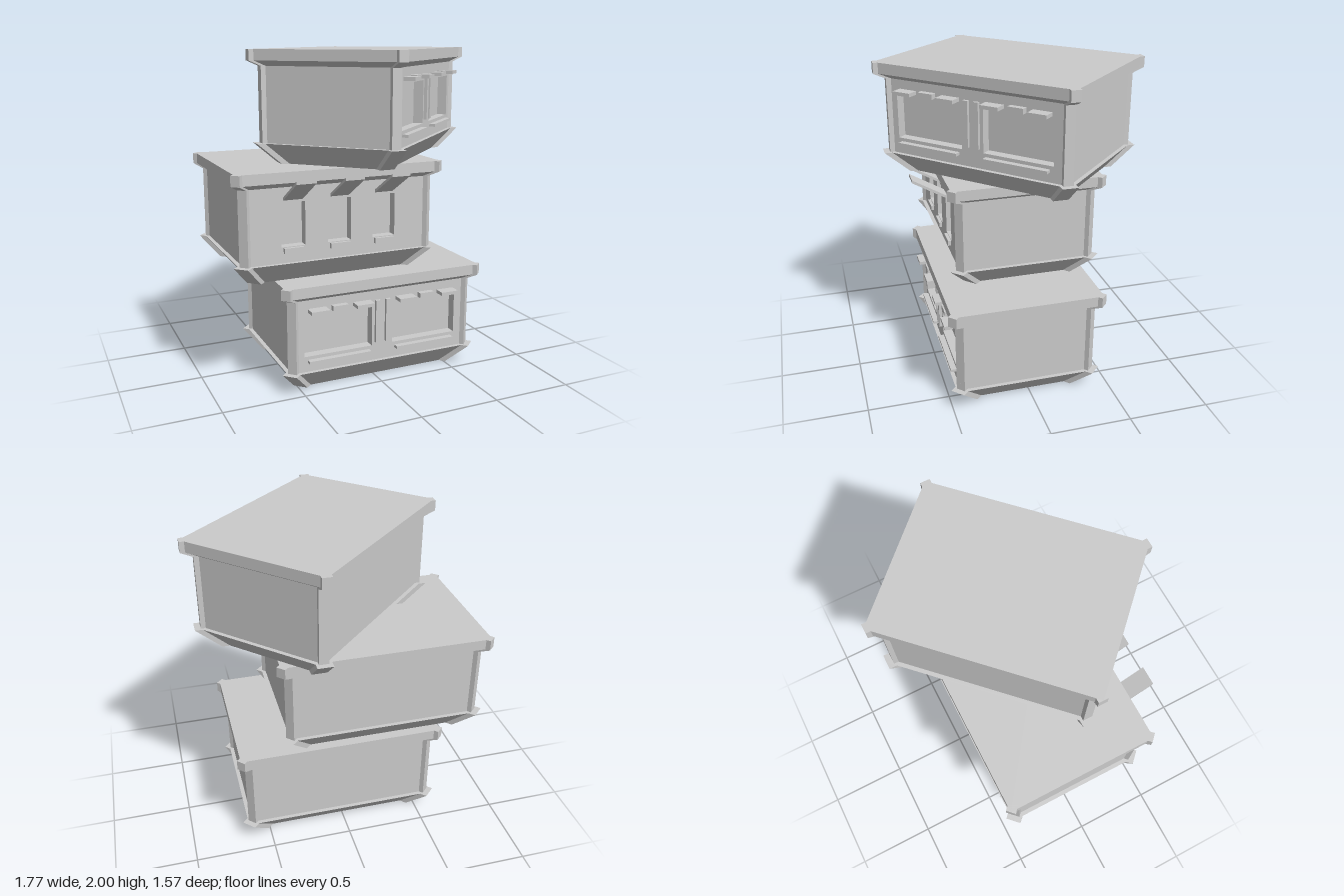
import * as THREE from 'three';

const HX = 0.642, HZ = 0.466, H = 2 / 3, WALL = 0.05, FRONT = HZ - WALL;
// Profile of every storey: [height, inset from the roof edge]
const PROFILE = [[0, 0.13], [0.127, 0.025], [0.127, WALL], [0.572, WALL], [0.603, 0], [H, 0]];
const WALL_BAND = 2;

const solid = new THREE.MeshStandardMaterial({ color: 0xcccccc, flatShading: true });
const open = new THREE.MeshStandardMaterial({ color: 0xcccccc, flatShading: true, side: THREE.DoubleSide });

function add(parent, name, geometry, material, x = 0, y = 0, z = 0) {
  const mesh = new THREE.Mesh(geometry, material);
  mesh.name = name;
  mesh.position.set(x, y, z);
  parent.add(mesh);
  return mesh;
}

// Fitting on the front wall, reaching slightly through it
function fitting(parent, name, x, width, y0, y1, z1) {
  const z0 = FRONT - 0.02;
  add(parent, name, new THREE.BoxGeometry(width, y1 - y0, z1 - z0), solid, x, (y0 + y1) / 2, (z0 + z1) / 2);
}

// Open-bottomed shell lofted from rectangles; the front wall is left out
function shellGeometry() {
  const rings = PROFILE.map(([y, d]) => [[1, 1], [1, -1], [-1, -1], [-1, 1]]
    .map(([sx, sz]) => [sx * (HX - d), y, sz * (HZ - d)]));
  const pos = [];
  const quad = (a, b, c, d) => pos.push(...a, ...b, ...c, ...a, ...c, ...d);
  for (let i = 0; i < rings.length - 1; i++) {
    for (let s = 0; s < 4; s++) {
      if (i === WALL_BAND && s === 3) continue;
      const t = (s + 1) % 4;
      quad(rings[i][s], rings[i][t], rings[i + 1][t], rings[i + 1][s]);
    }
  }
  quad(...rings[rings.length - 1]);
  const g = new THREE.BufferGeometry();
  g.setAttribute('position', new THREE.Float32BufferAttribute(pos, 3));
  g.computeVertexNormals();
  return g;
}

const shapeOf = (Type, points) => new Type(points.map(p => new THREE.Vector2(...p)));

// Shape extruded along z and centred on it
function slabGeometry(points, width) {
  return new THREE.ExtrudeGeometry(shapeOf(THREE.Shape, points), { depth: width, bevelEnabled: false })
    .translate(0, 0, -width / 2);
}

// Corner post that follows part of the profile along the diagonal
function postGeometry(profile, width) {
  const outer = profile.map(([y, d]) => [-d * Math.SQRT2, y]);
  const inner = outer.map(([r, y]) => [r - 0.05, y]).reverse();
  return slabGeometry([...outer, ...inner], width);
}

// Box without its front: reveals and pane of a window
function recessGeometry(w, h, depth) {
  const g = new THREE.BoxGeometry(w, h, depth);
  const faces = Array.from(g.index.array);
  faces.splice(24, 6);
  // reversed winding turns the faces inwards
  g.setIndex(faces.reverse());
  const flat = g.toNonIndexed();
  flat.computeVertexNormals();
  return flat;
}

const rect = (x0, x1, y0, y1) => [[x0, y0], [x1, y0], [x1, y1], [x0, y1]];

// Shell, posts and front wall with the given window openings [x0, x1, y0, y1]
function storey(name, windows) {
  const g = new THREE.Group();
  g.name = name;
  add(g, 'shell', shellGeometry(), open);
  const skirtPost = postGeometry(PROFILE.slice(0, 2), 0.092);
  const wallPost = postGeometry(PROFILE.slice(2), 0.058);
  for (const sx of [-1, 1]) for (const sz of [-1, 1]) {
    const angle = Math.atan2(-sz, sx);
    add(g, 'skirtPost', skirtPost, solid, sx * HX, 0, sz * HZ).rotation.y = angle;
    add(g, 'cornerPost', wallPost, solid, sx * HX, 0, sz * HZ).rotation.y = angle;
  }
  const wall = shapeOf(THREE.Shape, rect(WALL - HX, HX - WALL, PROFILE[2][0], PROFILE[3][0]));
  const depth = 0.06;
  for (const [x0, x1, y0, y1] of windows) {
    wall.holes.push(shapeOf(THREE.Path, rect(x0, x1, y0, y1)));
    add(g, 'windowRecess', recessGeometry(x1 - x0, y1 - y0, depth), open,
      (x0 + x1) / 2, (y0 + y1) / 2, FRONT - depth / 2);
  }
  add(g, 'frontWall', new THREE.ShapeGeometry(wall), open, 0, 0, FRONT);
  return g;
}

// Storey with two wide shop windows
function shopStorey(name) {
  const g = storey(name, [[-0.514, -0.075, 0.222, 0.481], [0.065, 0.502, 0.222, 0.481]]);
  for (const x of [-0.04, 0.028]) fitting(g, 'mullion', x, 0.032, 0.243, 0.513, 0.435);
  for (const x of [-0.294, 0.28]) fitting(g, 'sill', x, 0.4, 0.185, 0.202, 0.452);
  for (const x of [-0.434, -0.145, 0.14, 0.43]) fitting(g, 'lamp', x, 0.114, 0.498, 0.519, 0.485);
  for (const x of [-0.294, 0.285]) fitting(g, 'lampBox', x, 0.096, 0.493, 0.524, 0.452);
  return g;
}

// Storey with three narrow windows under raised shutters
function shutterStorey(name) {
  const xs = [-0.293, -0.004, 0.284];
  const g = storey(name, xs.map(x => [x - 0.074, x + 0.074, 0.222, 0.482]));
  const shutter = slabGeometry([[0.41, 0.492], [0.64, 0.625], [0.64, 0.643], [0.41, 0.51]], 0.117)
    .rotateY(-Math.PI / 2);
  for (const x of xs) {
    fitting(g, 'sill', x, 0.122, 0.185, 0.217, 0.435);
    add(g, 'shutter', shutter, solid, x);
  }
  return g;
}

export function createModel() {
  const model = new THREE.Group();
  model.name = 'stackedHouse';
  const lower = shopStorey('lowerStorey');
  lower.position.set(0.03, 0, 0.033);
  const middle = shutterStorey('middleStorey');
  middle.position.set(-0.225, H, -0.033);
  const upper = shopStorey('upperStorey');
  upper.position.set(0.096, 2 * H, -0.002);
  upper.rotation.y = Math.PI / 4;
  model.add(lower, middle, upper);
  return model;
}
